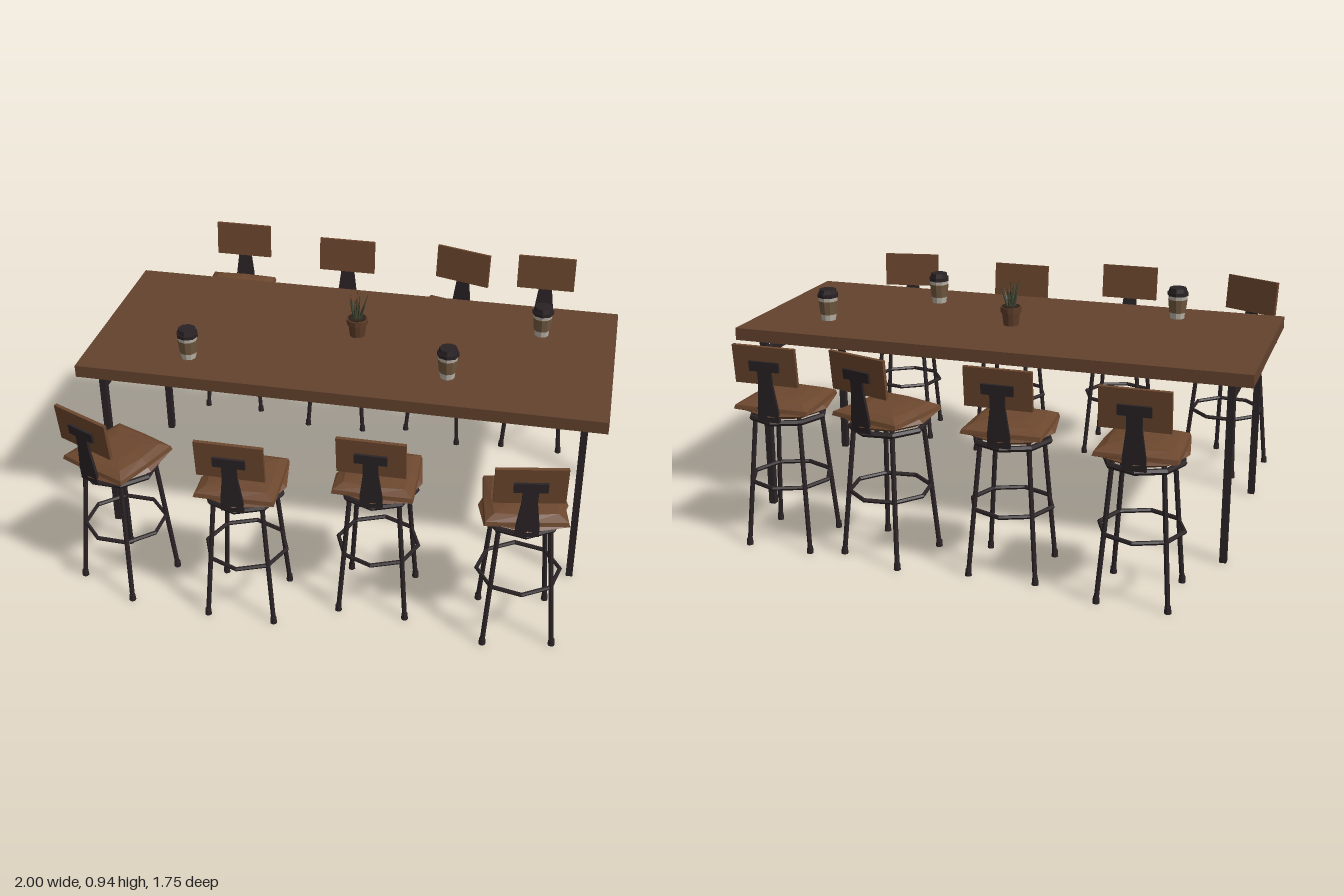
import * as THREE from 'three';

const mat = (name, color) => {
  const m = new THREE.MeshStandardMaterial({ color });
  m.name = name;
  return m;
};

export function createModel() {
  const wood = mat('wood', 0x64432e);
  const seatWood = mat('seatWood', 0x6c472e);
  const metal = mat('darkMetal', 0x2b2326);
  const lidMat = mat('lidPlastic', 0x2a2224);
  const paper = mat('cupPaper', 0xb9b2a6);
  const sleeveMat = mat('cardboardSleeve', 0x70583f);
  const clay = mat('clayPot', 0x5e3d29);
  const soilMat = mat('soil', 0x2e221a);
  const leafMat = mat('leaf', 0x3f4430);

  const root = new THREE.Group();
  root.name = 'barTableSet';

  const add = (parent, name, geo, material, x = 0, y = 0, z = 0) => {
    const g = geo.index ? geo.toNonIndexed() : geo;
    g.computeVertexNormals(); // faceted
    const m = new THREE.Mesh(g, material);
    m.name = name;
    m.position.set(x, y, z);
    parent.add(m);
    return m;
  };
  const box = (w, h, d) => new THREE.BoxGeometry(w, h, d);

  // Straight rod between two points
  const rod = (parent, name, a, b, r, material) => {
    const dir = b.clone().sub(a);
    const m = add(parent, name, new THREE.CylinderGeometry(r, r, dir.length(), 8), material);
    m.position.copy(a).add(b).multiplyScalar(0.5);
    m.quaternion.setFromUnitVectors(new THREE.Vector3(0, 1, 0), dir.normalize());
  };

  // Eight-sided hoop lying flat
  const hoop = (r, tube) => new THREE.TorusGeometry(r, tube, 6, 8).rotateX(Math.PI / 2);

  // Seat lofted from an octagonal base into a square top: [y, axis radius, diagonal radius]
  const seatGeometry = () => {
    const loops = [[0.512, 0, 0], [0.512, 0.125, 0.125], [0.53, 0.158, 0.158], [0.543, 0.143, 0.199],
      [0.558, 0.14, 0.193], [0.573, 0.115, 0.15], [0.58, 0.07, 0.08], [0.58, 0, 0]];
    const pos = [], index = [];
    for (const [y, axis, diag] of loops) {
      for (let i = 0; i < 8; i++) {
        const r = i % 2 ? diag : axis, a = i * Math.PI / 4;
        const z = r * Math.sin(a);
        pos.push(r * Math.cos(a) * (1 - z * 0.3), y, z);
      }
    }
    for (let l = 0; l < loops.length - 1; l++) {
      for (let i = 0; i < 8; i++) {
        const a = l * 8 + i, b = l * 8 + (i + 1) % 8;
        if (l > 0) index.push(a, a + 8, b);
        if (l < loops.length - 2) index.push(b, a + 8, b + 8);
        else index.push(a, a + 8, b);
        if (l === 0) index.push(a, a + 8, b);
      }
    }
    const g = new THREE.BufferGeometry();
    g.setAttribute('position', new THREE.Float32BufferAttribute(pos, 3));
    g.setIndex(index);
    return g;
  };

  // Tapered stem with a T-shaped head
  const bracketGeometry = () => {
    const half = [[0.042, 0.51], [0.04, 0.56], [0.027, 0.66], [0.027, 0.706], [0.058, 0.706], [0.058, 0.743]];
    const pts = [...half, ...half.slice().reverse().map(([x, y]) => [-x, y])];
    const shape = new THREE.Shape(pts.map(([x, y]) => new THREE.Vector2(x, y)));
    return new THREE.ExtrudeGeometry(shape, { depth: 0.01, bevelEnabled: false });
  };

  // Stool facing +z
  const makeStool = () => {
    const s = new THREE.Group();
    s.name = 'stool';
    add(s, 'seat', seatGeometry(), seatWood);
    add(s, 'seatRing', hoop(0.138, 0.011), metal, 0, 0.5, 0);
    add(s, 'footRing', hoop(0.15, 0.008), metal, 0, 0.25, 0);
    for (const sx of [-1, 1]) {
      for (const sz of [-1, 1]) {
        rod(s, 'stoolLeg', new THREE.Vector3(sx * 0.125, 0.01, sz * 0.125),
          new THREE.Vector3(sx * 0.088, 0.515, sz * 0.088), 0.009, metal);
        add(s, 'footCap', new THREE.CylinderGeometry(0.011, 0.013, 0.025, 8), metal, sx * 0.125, 0.0125, sz * 0.125);
      }
    }
    const rest = add(s, 'backrest', box(0.245, 0.145, 0.013), seatWood, 0, 0.725, -0.155);
    rest.rotation.x = -0.1;
    const bracket = add(s, 'backBracket', bracketGeometry(), metal, 0, 0, -0.143);
    bracket.geometry.translate(0, -0.51, -0.01);
    bracket.position.y = 0.51;
    bracket.rotation.x = -0.085;
    return s;
  };

  // Cup with sleeve and lid
  const makeCup = () => {
    const c = new THREE.Group();
    c.name = 'cup';
    const r = (y) => 0.028 + y * 0.11;
    const ring = (y0, y1, grow) => new THREE.CylinderGeometry(r(y1) + grow, r(y0) + grow, y1 - y0, 10);
    add(c, 'cupBody', ring(0, 0.095, 0), paper, 0, 0.0475, 0);
    add(c, 'sleeve', ring(0.025, 0.078, 0.002), sleeveMat, 0, 0.0515, 0);
    add(c, 'lidRim', new THREE.CylinderGeometry(0.042, 0.042, 0.014, 8), lidMat, 0, 0.1, 0);
    add(c, 'lidTop', new THREE.CylinderGeometry(0.034, 0.038, 0.018, 8), lidMat, 0, 0.115, 0);
    return c;
  };

  // Potted spiky plant
  const makePlant = () => {
    const p = new THREE.Group();
    p.name = 'pottedPlant';
    add(p, 'pot', new THREE.CylinderGeometry(0.037, 0.03, 0.055, 12), clay, 0, 0.0275, 0);
    add(p, 'potRim', new THREE.CylinderGeometry(0.043, 0.042, 0.022, 12), clay, 0, 0.063, 0);
    add(p, 'soil', new THREE.CylinderGeometry(0.036, 0.036, 0.004, 12), soilMat, 0, 0.0745, 0);
    for (let i = 0; i < 10; i++) {
      const h = i === 0 ? 0.12 : 0.075 + (i * 7 % 4) * 0.012;
      const leaf = add(p, 'leaf', new THREE.ConeGeometry(0.007, h, 4).translate(0, h / 2, 0), leafMat, 0, 0.073, 0);
      const a = i * 2.4;
      leaf.position.x = i ? Math.cos(a) * 0.012 : 0;
      leaf.position.z = i ? Math.sin(a) * 0.012 : 0;
      const tilt = i ? 0.13 + (i % 3) * 0.1 : 0;
      leaf.rotation.set(Math.sin(a) * tilt, 0, -Math.cos(a) * tilt);
    }
    return p;
  };

  // Table
  const table = new THREE.Group();
  table.name = 'table';
  root.add(table);
  add(table, 'tabletop', box(2, 0.048, 0.824), wood, 0, 0.721, -0.03);
  for (const x of [-0.916, 0.916]) {
    for (const z of [0.322, -0.373]) add(table, 'tableLeg', box(0.026, 0.7, 0.026), metal, x, 0.35, z);
    add(table, 'endRail', box(0.024, 0.026, 0.67), metal, x, 0.639, -0.0255);
  }

  // Stools: x, z, turn
  const PI = Math.PI;
  for (const [x, z, turn] of [
    [-0.68, -0.71, 0], [-0.19, -0.64, 0], [0.28, -0.645, -0.29], [0.685, -0.64, 0],
    [-0.75, 0.635, PI - 0.43], [-0.26, 0.695, PI], [0.21, 0.578, PI], [0.733, 0.635, PI + 0.18]]) {
    const s = makeStool();
    s.position.set(x, 0, z);
    s.rotation.y = turn;
    root.add(s);
  }

  // Tabletop items
  for (const [x, z] of [[-0.597, 0.23], [0.393, 0.18], [0.71, -0.215]]) {
    const c = makeCup();
    c.position.set(x, 0.745, z);
    root.add(c);
  }
  const plant = makePlant();
  plant.position.set(0, 0.745, -0.068);
  root.add(plant);

  return root;
}
